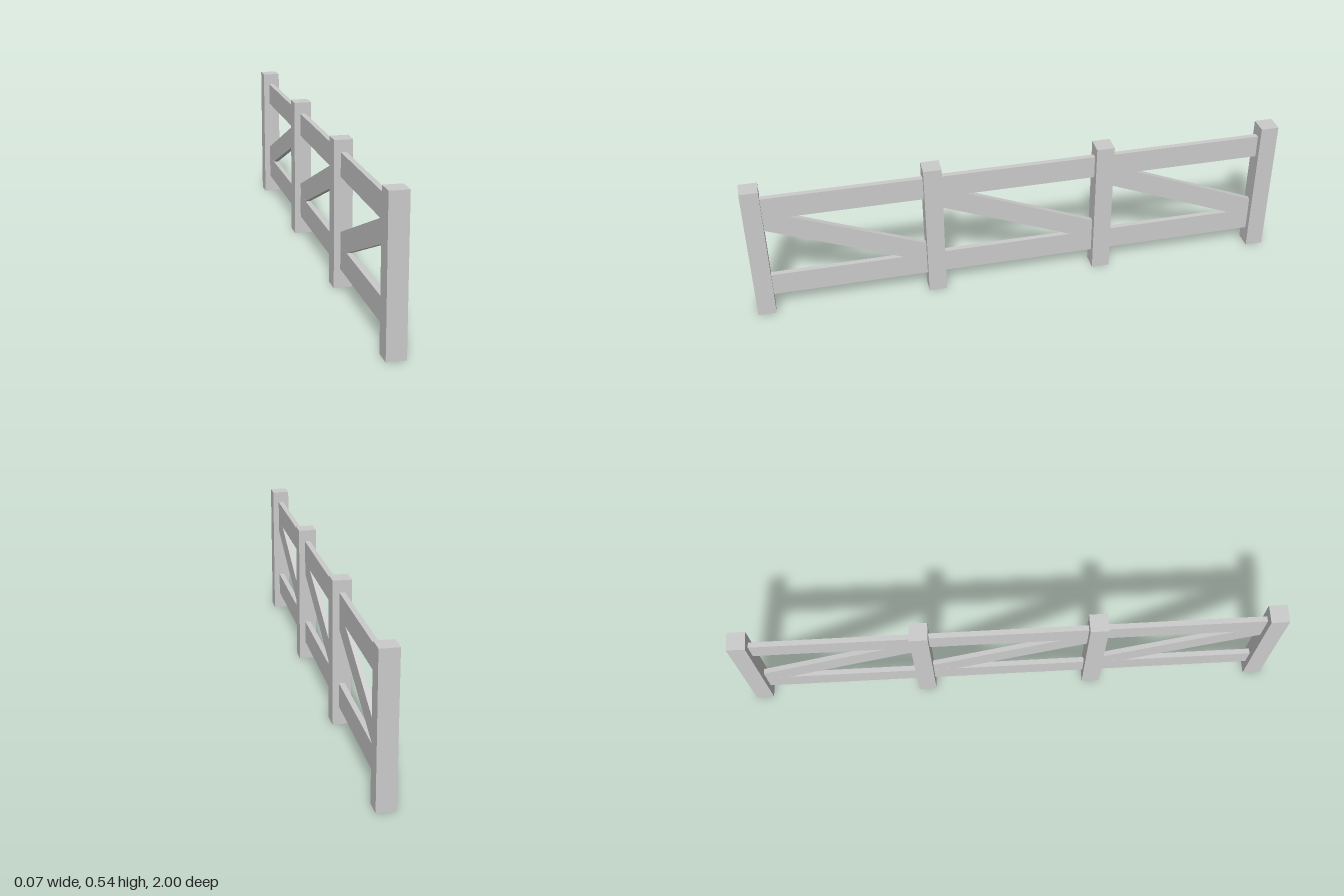
import * as THREE from 'three';

const POST = { size: 0.067, height: 0.538 };
const RAIL = { thickness: 0.02, height: 0.088, length: 1.94 };
const SPACING = 0.6445;
const BRACE_ANGLE = Math.atan(0.41);

export function createModel() {
  const fence = new THREE.Group();
  fence.name = 'fence';
  const material = new THREE.MeshStandardMaterial({ color: 0xcccccc });
  const postMaterial = new THREE.MeshStandardMaterial({ color: 0xcccccc, side: THREE.DoubleSide });

  const add = (name, geometry, y, z, mat = material) => {
    const mesh = new THREE.Mesh(geometry, mat);
    mesh.name = name;
    mesh.position.set(0, y, z);
    fence.add(mesh);
    return mesh;
  };

  // Four square posts, hollow underneath (the -y face is dropped)
  const postGeometry = new THREE.BoxGeometry(POST.size, POST.height, POST.size);
  const faces = Array.from(postGeometry.index.array);
  faces.splice(18, 6);
  postGeometry.setIndex(faces);
  postGeometry.clearGroups();
  for (let i = 0; i < 4; i++) {
    add(`post${i + 1}`, postGeometry, POST.height / 2, (1.5 - i) * SPACING, postMaterial);
  }

  // Two level rails running through all the posts
  const railGeometry = new THREE.BoxGeometry(RAIL.thickness, RAIL.height, RAIL.length);
  add('lowerRail', railGeometry, 0.114, 0);
  add('upperRail', railGeometry, 0.45, 0);

  // One diagonal brace per bay, falling towards the back
  const braceGeometry = new THREE.BoxGeometry(RAIL.thickness - 0.001, 0.079, 0.67);
  for (let i = 0; i < 3; i++) {
    add(`brace${i + 1}`, braceGeometry, 0.283, (1 - i) * SPACING).rotation.x = -BRACE_ANGLE;
  }

  return fence;
}
